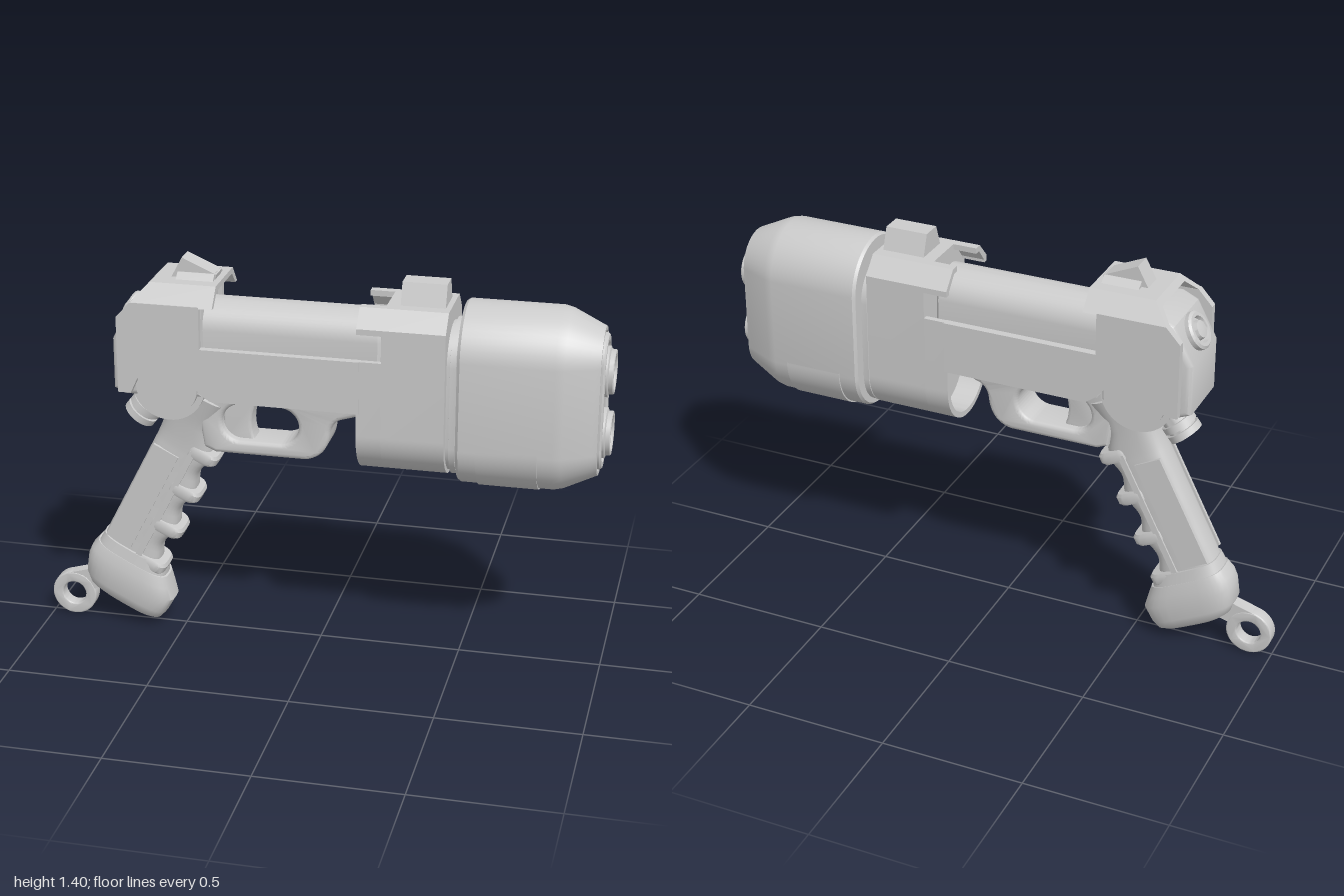
import * as THREE from 'three';
import { toCreasedNormals } from 'three/addons/utils/BufferGeometryUtils.js';

const material = new THREE.MeshStandardMaterial({ color: 0xcccccc, side: THREE.DoubleSide });
const V2 = (p) => new THREE.Vector2(p[0], p[1]);
const polygon = (pts) => new THREE.Shape(pts.map(V2));

function add(parent, name, geometry, crease = 0.6) {
  const mesh = new THREE.Mesh(toCreasedNormals(geometry, crease), material);
  mesh.name = name;
  parent.add(mesh);
  return mesh;
}

// Side outline (x, y) given thickness across z from z0 to z1
function slab(shape, z0, z1, bevel = 0) {
  const g = new THREE.ExtrudeGeometry(shape, {
    depth: z1 - z0 - 2 * bevel, curveSegments: 20, bevelEnabled: bevel > 0,
    bevelThickness: bevel, bevelSize: bevel, bevelOffset: -bevel, bevelSegments: 3,
  });
  return g.translate(0, 0, z0 + bevel);
}

// Cross-section (z, y) swept along x from x0 to x1
function sweepX(shape, x0, x1) {
  const g = new THREE.ExtrudeGeometry(shape, { depth: x1 - x0, bevelEnabled: false, curveSegments: 24 });
  return g.rotateY(Math.PI / 2).translate(x0, 0, 0);
}

// Turned profile [radius, x] around the x axis, split into a tall oval by +-stretch
function oval(profile, cy, stretch, phi0 = Math.PI / 48, phiLen = Math.PI * 2) {
  const n = 48;
  const g = new THREE.LatheGeometry(profile.map(V2), n, phi0, phiLen).rotateZ(-Math.PI / 2);
  const p = g.attributes.position;
  for (let i = 0; i < p.count; i++) {
    const phi = phi0 + (Math.floor(i / profile.length) / n) * phiLen;
    p.setY(i, p.getY(i) + cy + (Math.sin(phi) > -1e-6 ? -stretch : stretch));
  }
  return g;
}

// Rounded sections stacked along y, each [y, back x, front x, half width]
function loft(sections, power = 0.6, n = 32) {
  const pos = [], idx = [];
  const rounded = (t) => Math.sign(t) * Math.abs(t) ** power;
  for (const [y, x0, x1, w] of sections) {
    for (let i = 0; i < n; i++) {
      const a = (i / n) * Math.PI * 2;
      pos.push((x0 + x1) / 2 + rounded(Math.cos(a)) * (x1 - x0) / 2, y, rounded(Math.sin(a)) * w);
    }
  }
  for (let r = 0; r < sections.length - 1; r++) {
    for (let i = 0; i < n; i++) {
      const a = r * n + i, b = r * n + (i + 1) % n;
      idx.push(a, b, a + n, b, b + n, a + n);
    }
  }
  const last = (sections.length - 1) * n;
  for (let i = 1; i < n - 1; i++) idx.push(0, i + 1, i, last, last + i, last + i + 1);
  const g = new THREE.BufferGeometry();
  g.setAttribute('position', new THREE.Float32BufferAttribute(pos, 3));
  g.setIndex(idx);
  return g;
}

function buildMuzzle(root) {
  const g = new THREE.Group();
  g.name = 'muzzle';
  root.add(g);
  add(g, 'shroud', oval([[0, 0.495], [0.168, 0.495], [0.175, 0.505], [0.175, 0.82], [0.168, 0.85],
    [0.123, 0.945], [0.115, 0.962], [0.102, 0.962], [0.1, 0.95], [0, 0.95]], 0.99, 0.145), 0.45);
  add(g, 'frontPlate', oval([[0, 0.94], [0.094, 0.94], [0.094, 0.968], [0.088, 0.974], [0.07, 0.974], [0.068, 0.966], [0, 0.966]], 0.99, 0.145));
  add(g, 'collar', oval([[0, 0.45], [0.128, 0.45], [0.128, 0.466], [0.14, 0.468], [0.14, 0.488], [0.128, 0.49], [0.128, 0.5], [0, 0.5]], 0.97, 0.135));
  add(g, 'lowerPanel', oval([[0.165, 0.565], [0.18, 0.565], [0.18, 0.77], [0.165, 0.77], [0.165, 0.565]], 0.99, 0.145, 0, Math.PI));
  // Twin bores, each with a domed centre
  for (const y of [1.097, 0.878]) {
    add(g, 'bore', oval([[0, 0.94], [0.086, 0.94], [0.086, 0.98], [0.076, 0.984], [0.076, 0.997], [0.073, 1],
      [0.062, 1], [0.058, 0.996], [0.058, 0.965], [0.053, 0.965], [0.045, 0.979], [0.028, 0.989], [0, 0.993]], y, 0));
  }
}

function buildHousing(root) {
  const g = new THREE.Group();
  g.name = 'frontHousing';
  root.add(g);
  const full = polygon([[0.16, 0.855], [0.16, 1.235], [0.105, 1.295], [-0.105, 1.295], [-0.16, 1.235], [-0.16, 0.855]]);
  full.absarc(0, 0.855, 0.16, Math.PI, Math.PI * 2, false);
  add(g, 'housingBlock', sweepX(full, 0.24, 0.455));
  // Hollow rear skirt, open above
  const skirt = polygon([[0.14, 1.12], [0.16, 1.12], [0.16, 0.855]]);
  skirt.absarc(0, 0.855, 0.16, 0, -Math.PI, true);
  skirt.lineTo(-0.16, 1.12);
  skirt.lineTo(-0.14, 1.12);
  skirt.absarc(0, 0.855, 0.14, -Math.PI, 0, false);
  add(g, 'housingSkirt', sweepX(skirt, 0.155, 0.24));
  for (const s of [1, -1]) {
    const prong = polygon([[0.16, 1.215], [0.16, 1.235], [0.105, 1.295], [0.075, 1.295], [0.075, 1.275], [0.098, 1.275], [0.14, 1.225], [0.14, 1.215]]
      .map(([z, y]) => [z * s, y]));
    add(g, 'housingProng', sweepX(prong, 0.155, 0.24));
  }
  add(g, 'frontSight', sweepX(polygon([[-0.065, 1.29], [0.065, 1.29], [0.036, 1.37], [-0.036, 1.37]]), 0.285, 0.437));
}

function buildReceiver(root) {
  const g = new THREE.Group();
  g.name = 'receiver';
  root.add(g);
  add(g, 'core', oval([[0, -0.42], [0.1, -0.42], [0.1, 0.215], [0.09, 0.225], [0, 0.225]], 1.09, 0.07));
  add(g, 'rearBlock', slab(polygon([[-0.705, 0.94], [-0.705, 1.12], [-0.635, 1.25], [-0.58, 1.275], [-0.39, 1.27], [-0.39, 0.93], [-0.66, 0.92]]), -0.125, 0.125, 0.02));
  // Side plates, cut away above the core and around the pivot
  const plate = polygon([[-0.675, 0.945], [-0.63, 0.945], [-0.605, 1], [-0.42, 1], [-0.385, 0.96], [-0.35, 0.935],
    [0.165, 0.935], [0.165, 1.12], [-0.385, 1.12], [-0.385, 1.27], [-0.625, 1.27], [-0.675, 1.215]]);
  for (const s of [1, -1]) {
    add(g, 'sidePlate', slab(plate, s > 0 ? 0.138 : -0.165, s > 0 ? 0.165 : -0.138));
    add(g, 'plateRib', new THREE.BoxGeometry(0.55, 0.02, 0.06).translate(-0.11, 0.96, s * 0.115));
  }
  // Thin chamfered roof with a sloped rear edge
  const roof = sweepX(polygon([[0.165, 1.265], [0.11, 1.33], [-0.11, 1.33], [-0.165, 1.265], [-0.143, 1.265], [-0.1, 1.31], [0.1, 1.31], [0.143, 1.265]]), -0.63, -0.337);
  const p = roof.attributes.position;
  for (let i = 0; i < p.count; i++) if (p.getX(i) < -0.5) p.setX(i, -0.63 + (p.getY(i) - 1.265) * 0.95);
  add(g, 'roof', roof);
  add(g, 'rearSightBase', sweepX(polygon([[-0.07, 1.325], [0.07, 1.325], [0.04, 1.35], [-0.04, 1.35]]), -0.49, -0.36));
  add(g, 'rearSight', slab(polygon([[-0.515, 1.325], [-0.475, 1.4], [-0.355, 1.347], [-0.36, 1.325]]), -0.037, 0.037));
  // Round cap facing back and up
  const cap = add(g, 'rearCap', oval([[0, -0.05], [0.066, -0.05], [0.066, 0.015], [0.058, 0.022], [0.046, 0.022], [0.042, 0.008],
    [0.034, 0.008], [0.03, 0.025], [0, 0.03]], 0, 0));
  cap.position.set(-0.668, 1.19, 0);
  cap.rotation.z = Math.PI * 5 / 6;
  // Grip pivot
  const disc = (r, h) => new THREE.CylinderGeometry(r, r, h, 48).rotateX(Math.PI / 2).translate(-0.512, 0.965, 0);
  add(g, 'pivotRing', disc(0.13, 0.22));
  add(g, 'pivotDisc', disc(0.108, 0.27));
}

function buildTriggerGuard(root) {
  const g = new THREE.Group();
  g.name = 'triggerAssembly';
  root.add(g);
  const frame = polygon([[-0.4, 0.73], [-0.36, 0.712], [-0.04, 0.712]]);
  frame.quadraticCurveTo(0.035, 0.725, 0.045, 0.81);
  frame.quadraticCurveTo(0.05, 0.86, 0.09, 0.87);
  [[0.155, 0.89], [0.24, 0.9], [0.24, 0.98], [-0.42, 0.98], [-0.42, 0.85]].forEach(([x, y]) => frame.lineTo(x, y));
  const hole = new THREE.Path();
  hole.absarc(-0.13, 0.828, 0.066, -Math.PI / 2, Math.PI / 2, false);
  hole.absarc(-0.27, 0.828, 0.066, Math.PI / 2, Math.PI * 1.5, false);
  frame.holes.push(hole);
  add(g, 'triggerGuard', slab(frame, -0.075, 0.075, 0.015));
  const trigger = polygon([[-0.34, 0.75], [-0.225, 0.755]]);
  trigger.quadraticCurveTo(-0.255, 0.82, -0.22, 0.9);
  trigger.lineTo(-0.34, 0.9);
  add(g, 'trigger', slab(trigger, -0.04, 0.04, 0.01));
}

function buildGrip(root) {
  const g = new THREE.Group();
  g.name = 'grip';
  g.position.set(-0.5, 0.74, 0);
  g.rotation.z = -27 * Math.PI / 180;
  root.add(g);
  const body = [[-0.53, -0.07, 0.14, 0.066]];
  for (let i = 0; i <= 24; i++) {
    const y = -0.5 + i * 0.02;
    body.push([y, -0.078, 0.137 - 0.022 * Math.sin(((y + 0.01) / 0.16) * Math.PI) ** 2 - y * 0.02, 0.064]);
  }
  body.push([0.02, -0.08, 0.12, 0.068], [0.07, -0.087, 0.09, 0.072], [0.12, -0.1, 0.085, 0.08], [0.2, -0.12, 0.1, 0.095]);
  add(g, 'gripBody', loft(body), 0.9);
  // Finger ridges
  for (let i = 0; i < 4; i++) {
    const y = -0.01 - 0.16 * i, x = 0.16 + 0.006 * i;
    add(g, 'fingerRidge', loft([[y - 0.022, 0.04, x - 0.01, 0.068], [y - 0.012, 0.04, x, 0.072], [y + 0.012, 0.04, x, 0.072], [y + 0.022, 0.04, x - 0.01, 0.068]], 0.5));
  }
  // Raised side panels and the rails behind the finger grooves
  for (const s of [1, -1]) {
    add(g, 'sidePanel', new THREE.BoxGeometry(0.1, 0.41, 0.012).translate(-0.018, -0.26, s * 0.064));
    add(g, 'gripRail', new THREE.BoxGeometry(0.022, 0.48, 0.016).translate(0.068, -0.25, s * 0.062));
  }
  add(g, 'buttBand', loft([[-0.52, -0.085, 0.19, 0.079], [-0.475, -0.083, 0.17, 0.073]]));
  add(g, 'buttCap', loft([[-0.69, -0.01, 0.222, 0.055], [-0.675, -0.05, 0.243, 0.075], [-0.645, -0.078, 0.252, 0.085],
    [-0.585, -0.098, 0.255, 0.088], [-0.55, -0.1, 0.225, 0.087], [-0.515, -0.09, 0.195, 0.08]]), 0.7);
}

function buildFittings(root) {
  // Stacked round button behind the neck
  const button = new THREE.Group();
  button.name = 'neckButton';
  button.position.set(-0.62, 0.845, 0);
  button.rotation.z = -0.66;
  root.add(button);
  [[0.05, 0.1, 0.02], [0.06, 0.025, -0.008], [0.06, 0.025, -0.042]].forEach(([r, h, y]) =>
    add(button, 'buttonDisc', new THREE.CylinderGeometry(r, r, h, 32).translate(0, y, 0)));
  // Lanyard loop
  const loop = new THREE.Shape().absarc(-0.918, 0.086, 0.082, 0, Math.PI * 2, false);
  loop.holes.push(new THREE.Path().absarc(-0.918, 0.086, 0.043, 0, Math.PI * 2, true));
  add(root, 'lanyardLoop', slab(loop, -0.025, 0.025, 0.005));
  add(root, 'lanyardArm', slab(polygon([[-0.94, 0.163], [-0.85, 0.19], [-0.79, 0.19], [-0.8, 0.12], [-0.843, 0.11], [-0.88, 0.145]]), -0.024, 0.024));
}

export function createModel() {
  const root = new THREE.Group();
  root.name = 'toyBlaster';
  [buildMuzzle, buildHousing, buildReceiver, buildTriggerGuard, buildGrip, buildFittings].forEach((build) => build(root));
  return root;
}
